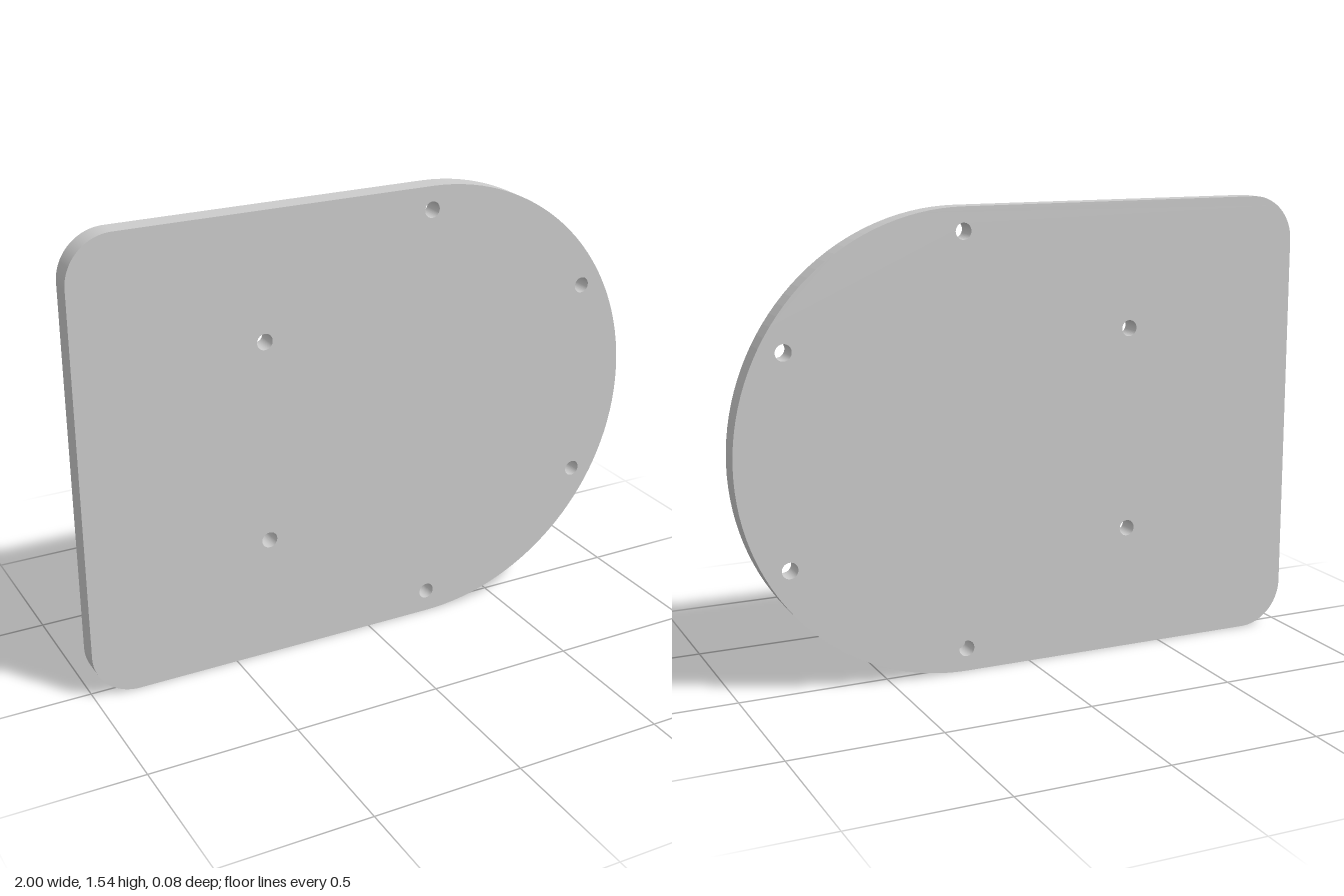
import * as THREE from 'three';

const RADIUS = 0.77;        // rounded end, half the plate height
const CENTER_X = 0.23;      // centre of the rounded end
const CORNER = 0.154;       // corner fillets on the square end
const THICKNESS = 0.077;
const HOLE_RADIUS = 0.027;
const HOLE_CIRCLE = 0.692;  // bolt circle radius

export function createModel() {
  const group = new THREE.Group();
  group.name = 'mountingPlate';

  // Outline: square end with filleted corners, semicircular other end
  const outline = new THREE.Shape();
  outline.moveTo(-1 + CORNER, 0);
  outline.lineTo(CENTER_X, 0);
  outline.absarc(CENTER_X, RADIUS, RADIUS, -Math.PI / 2, Math.PI / 2, false);
  outline.lineTo(-1 + CORNER, 2 * RADIUS);
  outline.absarc(-1 + CORNER, 2 * RADIUS - CORNER, CORNER, Math.PI / 2, Math.PI, false);
  outline.lineTo(-1, CORNER);
  outline.absarc(-1 + CORNER, CORNER, CORNER, Math.PI, Math.PI * 1.5, false);

  // Six through holes evenly spaced on the bolt circle
  for (let i = 0; i < 6; i++) {
    const angle = Math.PI / 6 + (i * Math.PI) / 3;
    const hole = new THREE.Path();
    hole.absarc(
      CENTER_X + HOLE_CIRCLE * Math.cos(angle),
      RADIUS + HOLE_CIRCLE * Math.sin(angle),
      HOLE_RADIUS, 0, Math.PI * 2, true
    );
    outline.holes.push(hole);
  }

  const geometry = new THREE.ExtrudeGeometry(outline, {
    depth: THICKNESS, bevelEnabled: false, curveSegments: 32,
  });
  geometry.translate(0, 0, -THICKNESS / 2);

  const plate = new THREE.Mesh(
    geometry,
    new THREE.MeshStandardMaterial({ color: 0xcccccc, flatShading: true })
  );
  plate.name = 'plate';
  group.add(plate);
  return group;
}
